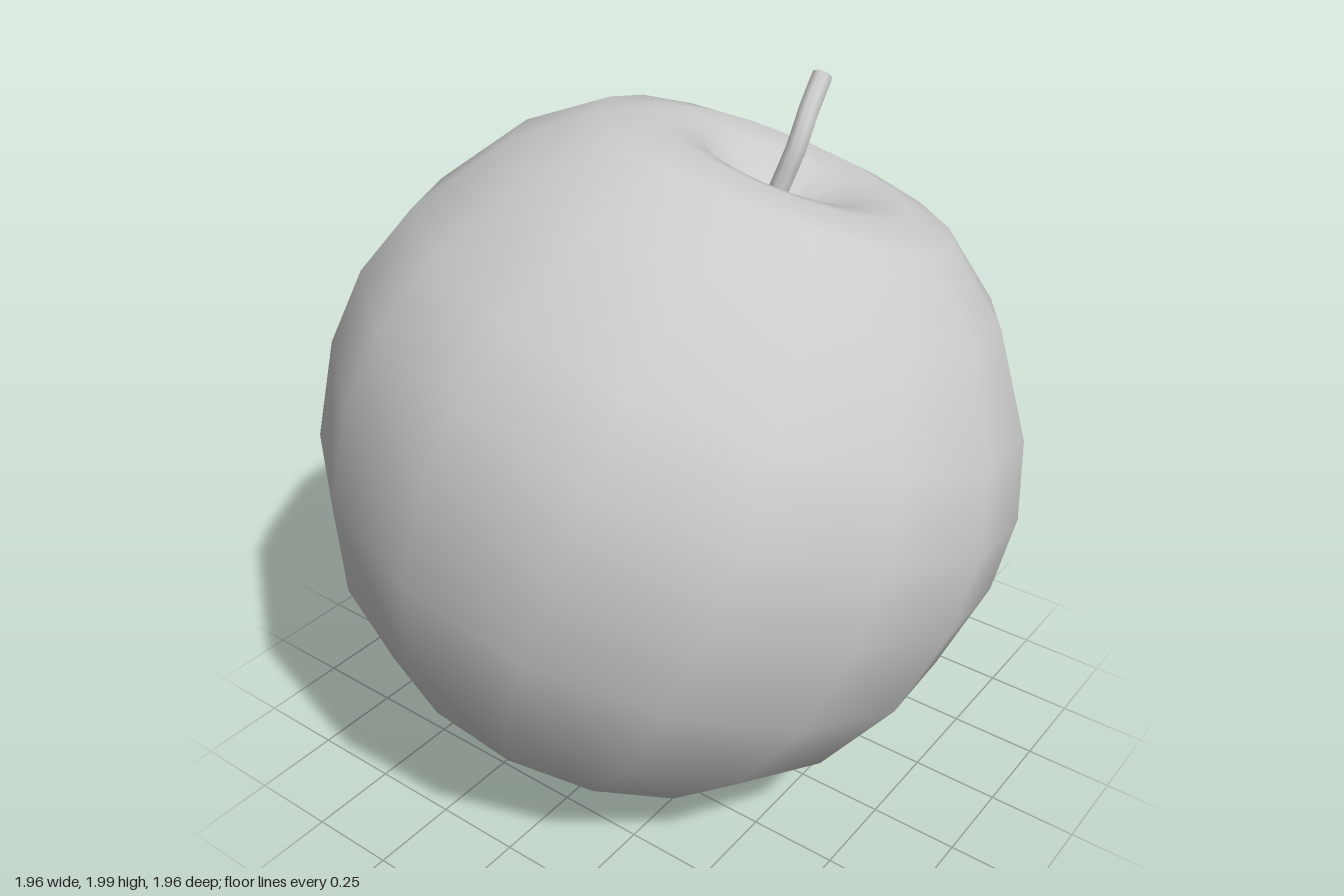
import * as THREE from 'three';

const material = new THREE.MeshStandardMaterial({ color: 0xcccccc });

function addMesh(parent, name, geometry) {
  const mesh = new THREE.Mesh(geometry, material);
  mesh.name = name;
  parent.add(mesh);
  return mesh;
}

export function createModel() {
  const group = new THREE.Group();
  group.name = 'apple';

  // Fruit body: profile from the shallow lower dimple up to the stem hollow
  const profile = [
    [0, -0.82], [0.09, -0.825], [0.2, -0.875], [0.42, -0.874], [0.62, -0.76],
    [0.82, -0.53], [0.94, -0.26], [0.98, 0.02], [0.96, 0.24], [0.88, 0.45],
    [0.7, 0.7], [0.5, 0.85], [0.35, 0.88], [0.22, 0.855], [0.1, 0.77], [0, 0.71],
  ].map(([r, h]) => new THREE.Vector2(r, h));
  const body = addMesh(group, 'fruitBody', new THREE.LatheGeometry(profile, 16));
  body.geometry.rotateY(THREE.MathUtils.degToRad(-3.5));

  // The fruit leans towards its front left
  const axis = new THREE.Vector3(0.28, 0.935, 0.22).normalize();
  body.quaternion.setFromUnitVectors(new THREE.Vector3(0, 1, 0), axis);
  body.position.y = 0.97;

  // Bent stem with a closed tip
  const stem = new THREE.Group();
  stem.name = 'stem';
  group.add(stem);
  const path = new THREE.CatmullRomCurve3([
    new THREE.Vector3(0.21, 1.62, 0.165),
    new THREE.Vector3(0.235, 1.72, 0.19),
    new THREE.Vector3(0.275, 1.83, 0.215),
    new THREE.Vector3(0.325, 1.9, 0.21),
    new THREE.Vector3(0.415, 1.977, 0.195),
  ]);
  addMesh(stem, 'stemStalk', new THREE.TubeGeometry(path, 8, 0.029, 8));
  const tip = addMesh(stem, 'stemTip', new THREE.CircleGeometry(0.029, 8));
  tip.position.copy(path.getPointAt(1));
  tip.quaternion.setFromUnitVectors(new THREE.Vector3(0, 0, 1), path.getTangentAt(1));

  return group;
}
